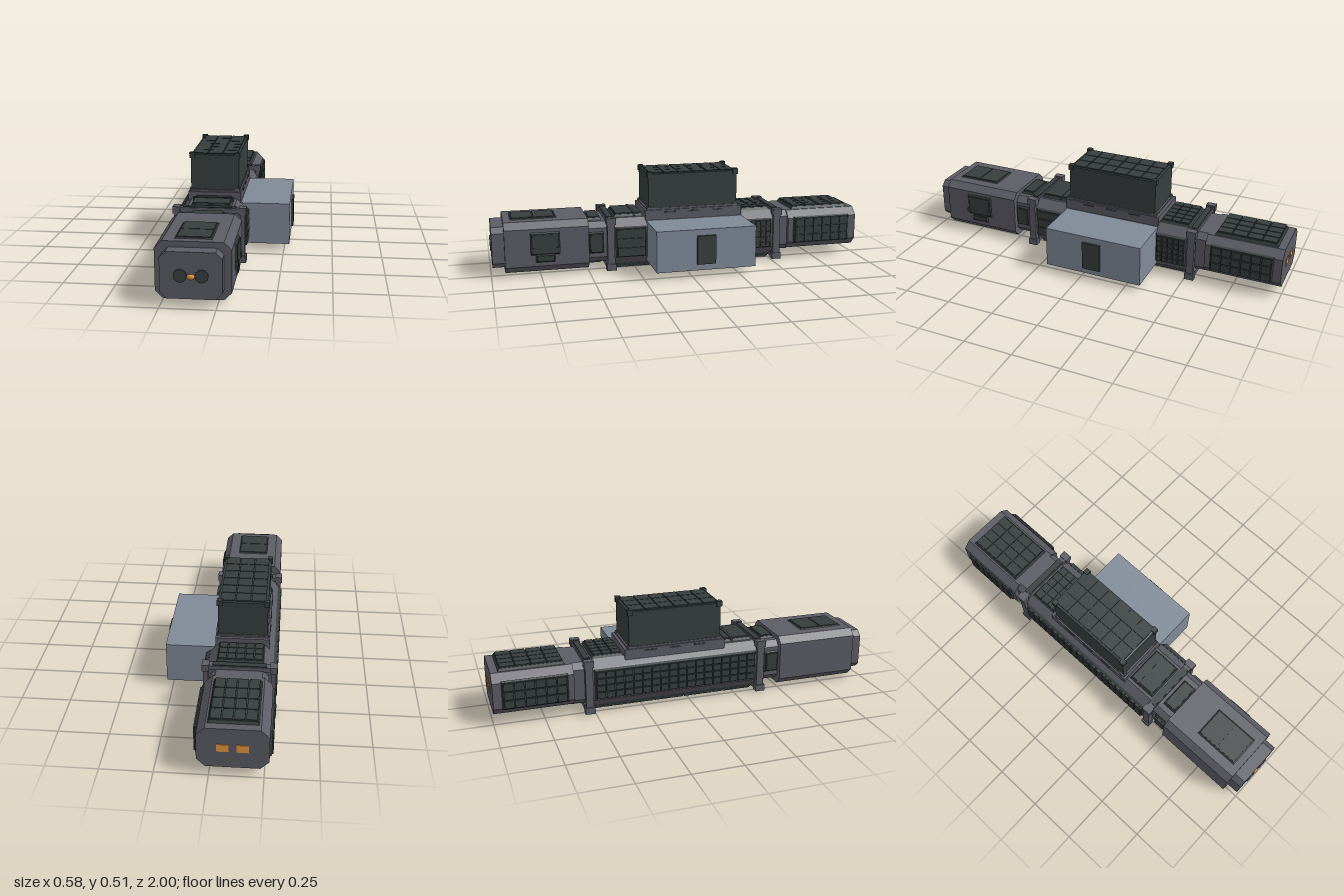
import * as THREE from 'three';

const mat = (name, color) => {
  const m = new THREE.MeshStandardMaterial({ color });
  m.name = name;
  return m;
};

export function createModel() {
  const grey = mat('hull grey', 0x5b5c65);
  const dark = mat('panel dark', 0x373e3e);
  const blue = mat('module blue grey', 0x808a98);
  const orange = mat('lamp orange', 0xe8963f);
  const model = new THREE.Group();
  const CX = -0.108, CY = 0.154; // long axis of the station

  const add = (name, geometry, material, parent = model) => {
    const mesh = new THREE.Mesh(geometry, material);
    mesh.name = name;
    parent.add(mesh);
    return mesh;
  };
  // Box given by its limits on each axis
  const box = (name, material, x0, x1, y0, y1, z0, z1, parent) => {
    const g = new THREE.BoxGeometry(x1 - x0, y1 - y0, z1 - z0);
    g.translate((x0 + x1) / 2, (y0 + y1) / 2, (z0 + z1) / 2);
    return add(name, g, material, parent);
  };
  // Rectangle with cut corners, centred on 0
  const octagon = (w, h, c) => new THREE.Shape([
    [-w + c, -h], [w - c, -h], [w, -h + c], [w, h - c],
    [w - c, h], [-w + c, h], [-w, h - c], [-w, -h + c],
  ].map(([x, y]) => new THREE.Vector2(x, y)));
  // Hull section with a cut-corner outline, running along z
  const hull = (name, material, x0, x1, y0, y1, z0, z1, c) => {
    const g = new THREE.ExtrudeGeometry(octagon((x1 - x0) / 2, (y1 - y0) / 2, c),
      { depth: z1 - z0, bevelEnabled: false });
    g.translate((x0 + x1) / 2, (y0 + y1) / 2, z0);
    return add(name, g, material);
  };
  // Raised plate with sloping rim and a grid of tiles; local z points outwards
  const facing = {
    top: [-Math.PI / 2, 0], bottom: [Math.PI / 2, 0],
    left: [0, Math.PI / 2], right: [0, -Math.PI / 2], front: [0, 0],
  };
  const panel = (name, face, x, y, z, w, h, depth, cols, rows, tile = 0.007) => {
    const group = new THREE.Group();
    group.name = name;
    const base = new THREE.BoxGeometry(w, h, depth - tile);
    const p = base.attributes.position;
    for (let i = 0; i < p.count; i++) {
      if (p.getZ(i) > 0) p.setXY(i, p.getX(i) - Math.sign(p.getX(i)) * 0.007, p.getY(i) - Math.sign(p.getY(i)) * 0.007);
    }
    base.translate(0, 0, (depth - tile) / 2);
    base.computeVertexNormals();
    add('panelBase', base, dark, group);
    const tw = (w - 0.016) / cols, th = (h - 0.016) / rows;
    for (let i = 0; i < cols; i++) for (let j = 0; j < rows; j++) {
      const t = new THREE.BoxGeometry(tw - 0.005, th - 0.005, tile);
      t.translate((i + 0.5 - cols / 2) * tw, (j + 0.5 - rows / 2) * th, depth - tile / 2);
      add('tile', t, dark, group);
    }
    group.rotation.set(facing[face][0], facing[face][1], 0);
    group.position.set(x, y, z);
    model.add(group);
  };

  // Front cabin with stepped nose
  hull('cabin', grey, -0.278, 0.062, 0.023, 0.287, 0.5, 0.93, 0.034);
  hull('nose', grey, -0.245, 0.028, 0.047, 0.26, 0.93, 0.992, 0.028);
  for (const s of [-1, 1]) {
    const port = add('dockingPort', new THREE.CylinderGeometry(0.03, 0.03, 0.014, 12), dark);
    port.rotation.x = Math.PI / 2;
    port.position.set(CX + s * 0.047, 0.153, 0.991);
  }
  const lamp = add('noseLamp', new THREE.SphereGeometry(0.02, 10, 6), orange);
  lamp.scale.set(1, 0.65, 0.5);
  lamp.position.set(CX, 0.148, 0.99);

  // Cabin hatches: roof, side and belly
  panel('roofHatch', 'top', -0.11, 0.286, 0.775, 0.17, 0.24, 0.009, 1, 2, 0.004);
  panel('bellyHatch', 'bottom', -0.11, 0.024, 0.79, 0.17, 0.2, 0.007, 1, 1, 0.003);
  panel('sideHatch', 'left', 0.061, 0.175, 0.725, 0.15, 0.12, 0.012, 1, 1, 0.004);
  panel('sideHatchStep', 'left', 0.061, 0.099, 0.725, 0.1, 0.045, 0.012, 1, 1, 0.004);
  for (const z of [0.66, 0.79]) box('hatchHinge', dark, 0.061, 0.077, 0.13, 0.155, z - 0.01, z + 0.01);

  // Front neck with plates on all sides
  hull('frontNeck', grey, -0.25, 0.034, 0.045, 0.262, 0.4, 0.51, 0.03);
  panel('neckRoofPlate', 'top', CX, 0.26, 0.459, 0.17, 0.08, 0.02, 1, 1);
  panel('neckBellyPlate', 'bottom', CX, 0.047, 0.459, 0.17, 0.08, 0.018, 1, 1);
  panel('neckLeftPlate', 'left', 0.033, 0.155, 0.459, 0.08, 0.115, 0.018, 1, 1);
  panel('neckRightPlate', 'right', -0.249, 0.155, 0.459, 0.08, 0.115, 0.018, 1, 1);

  // Frame rings: corner blocks joined by bars
  const ring = (z0, z1) => {
    for (const sx of [-1, 1]) {
      const x = CX + sx * 0.164;
      box('ringPost', grey, x - 0.012, x + 0.012, 0.03, 0.27, z0 + 0.006, z1 - 0.006);
      for (const y of [0.025, 0.271]) box('ringCorner', grey, x - 0.018, x + 0.018, y - 0.017, y + 0.017, z0, z1);
    }
    for (const y of [0.025, 0.271]) box('ringBar', grey, CX - 0.15, CX + 0.15, y - 0.012, y + 0.012, z0 + 0.006, z1 - 0.006);
    box('ringTopCap', dark, CX - 0.13, CX + 0.13, 0.28, 0.288, z0 + 0.01, z1 - 0.01);
  };
  ring(0.36, 0.41);
  ring(-0.553, -0.503);

  // Central hull with tiled plates
  hull('centralHull', grey, -0.27, 0.053, 0.026, 0.275, -0.52, 0.38, 0.045);
  panel('leftFrontTiles', 'left', 0.052, 0.153, 0.278, 0.165, 0.165, 0.021, 1, 3);
  panel('leftRearTiles', 'left', 0.052, 0.153, -0.418, 0.165, 0.165, 0.021, 5, 5);
  panel('rightTiles', 'right', -0.269, 0.155, -0.07, 0.86, 0.16, 0.021, 18, 4);
  panel('roofFrontTiles', 'top', CX, 0.274, 0.28, 0.205, 0.155, 0.021, 1, 1);
  box('roofRib', dark, -0.21, -0.006, 0.274, 0.298, 0.243, 0.257);
  panel('roofRearTiles', 'top', CX, 0.274, -0.42, 0.235, 0.16, 0.021, 5, 3);
  panel('bellyTiles', 'bottom', CX, 0.027, -0.07, 0.235, 0.87, 0.024, 3, 16);

  // Cargo container on its cradle
  box('cargoCradle', grey, -0.244, 0.027, 0.25, 0.309, -0.335, 0.195);
  box('cargoCradleTop', grey, -0.236, 0.019, 0.309, 0.318, -0.32, 0.185);
  for (const z of [-0.2, -0.07, 0.06]) box('cradleNotch', dark, -0.247, 0.03, 0.292, 0.3, z - 0.03, z + 0.03);
  box('cargoContainer', dark, -0.232, 0.016, 0.318, 0.5, -0.31, 0.175);
  panel('cargoRoofTiles', 'top', CX, 0.499, -0.0675, 0.246, 0.48, 0.008, 3, 6, 0.006);
  for (const x of [-0.225, 0.007]) for (const z of [-0.302, 0.167]) {
    box('cargoTopCorner', dark, x - 0.014, x + 0.014, 0.482, 0.511, z - 0.014, z + 0.014);
    box('cargoFoot', grey, x - 0.014, x + 0.014, 0.306, 0.324, z - 0.014, z + 0.014);
  }

  // Side module with door
  box('sideModule', blue, 0.025, 0.278, 0.04, 0.255, -0.335, 0.19);
  box('sideDoor', dark, 0.277, 0.29, 0.073, 0.223, -0.118, -0.02);

  // Rear neck and engine section
  hull('rearNeck', grey, -0.25, 0.034, 0.045, 0.265, -0.61, -0.54, 0.03);
  hull('rearHull', grey, -0.272, 0.055, 0.052, 0.265, -0.997, -0.6, 0.04);
  panel('rearRoofTiles', 'top', CX, 0.264, -0.797, 0.23, 0.325, 0.022, 4, 4);
  panel('rearLeftTiles', 'left', 0.054, 0.16, -0.792, 0.325, 0.15, 0.017, 6, 3);
  panel('rearRightTiles', 'right', -0.271, 0.16, -0.792, 0.325, 0.15, 0.017, 6, 3);
  box('bellySlot', dark, -0.17, -0.046, 0.047, 0.054, -0.8, -0.765);
  for (const s of [-1, 1]) {
    const x = CX + s * 0.045;
    box('tailLamp', orange, x - 0.027, x + 0.027, 0.14, 0.18, -1, -0.995);
  }
  return model;
}
